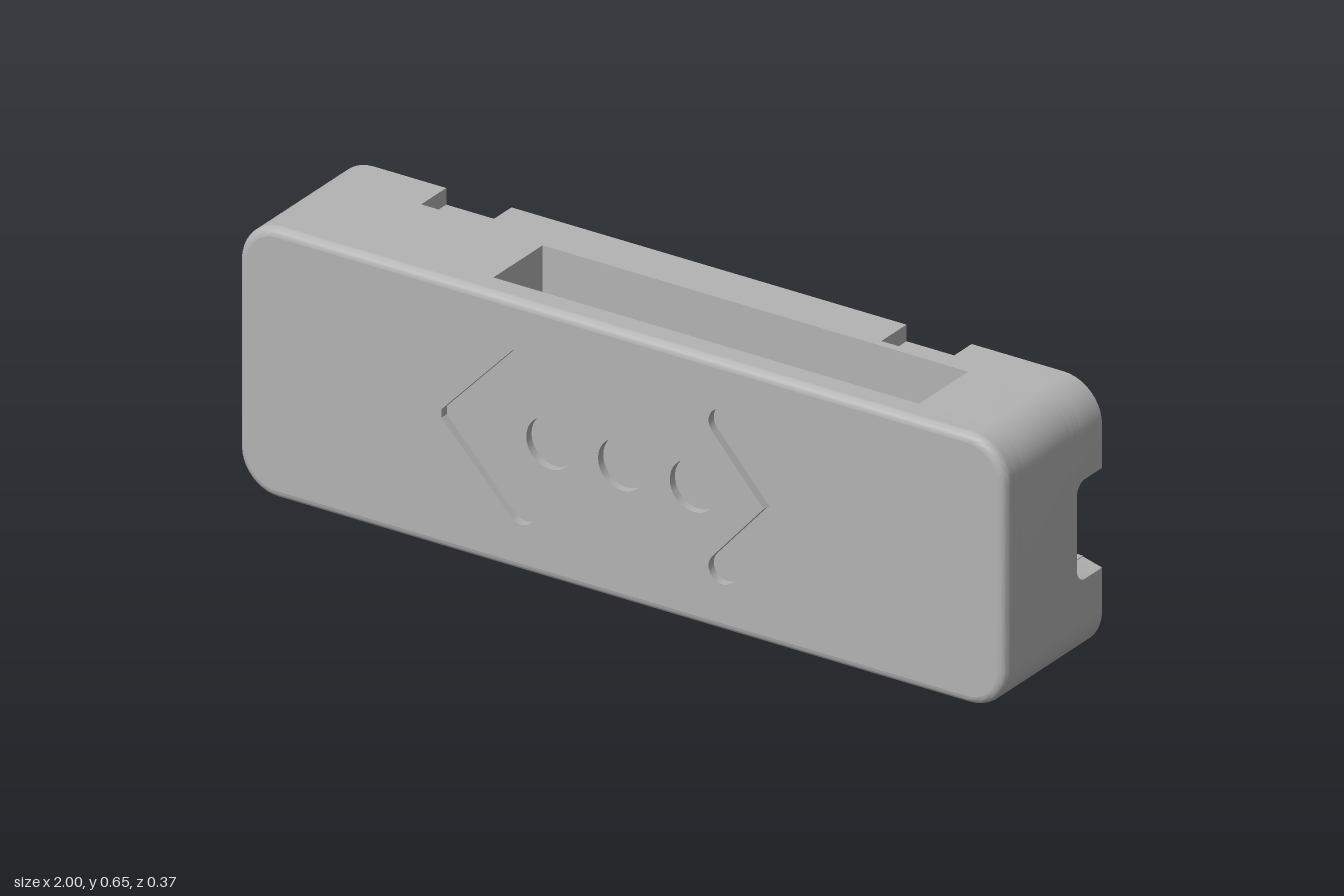
import * as THREE from 'three';
import { toCreasedNormals } from 'three/addons/utils/BufferGeometryUtils.js';

const H = 0.65, R = 0.1, BACK = -0.187, FLOOR = -0.103;
const grey = new THREE.MeshStandardMaterial({ color: 0xb3b3b3, side: THREE.DoubleSide });
grey.name = 'grey plastic';

const flipY = (pts) => pts.map(([x, y]) => [x, H - y]);
const vecs = (pts) => pts.map(([x, y]) => new THREE.Vector2(x, y));

function arc(cx, cy, r, a0, a1, n = 10) {
  return Array.from({ length: n + 1 }, (_, i) => {
    const a = THREE.MathUtils.degToRad(a0 + (a1 - a0) * i / n);
    return [cx + r * Math.cos(a), cy + r * Math.sin(a)];
  });
}

// Rounded outline of the case, pulled in by d
function outline(d = 0) {
  const r = R - d;
  return [
    ...arc(-1 + R, R, r, 180, 270), ...arc(1 - R, R, r, 270, 360),
    ...arc(1 - R, H - R, r, 0, 90), ...arc(-1 + R, H - R, r, 90, 180),
  ];
}

// Lower edge of the case from the open end to the cable end
const CLIPS = [[-0.71, -0.54], [0.49, 0.66]], DENT = 0.065;
function lowerEdge(dents, notch) {
  const pts = [[-1, 0.11], ...arc(-1 + R, R, R, 180, 270)];
  if (dents) for (const [a, b] of CLIPS) pts.push([a, 0], [a, DENT], [b, DENT], [b, 0]);
  pts.push(...arc(1 - R, R, R, 270, 360));
  if (notch) pts.push([1, 0.205], [0.95, 0.205]);
  return pts;
}

// Solid slab between two depths
function slab(pts, z0, z1, holes = []) {
  const shape = new THREE.Shape(vecs(pts));
  for (const h of holes) shape.holes.push(new THREE.Path(vecs(h)));
  const g = new THREE.ExtrudeGeometry(shape, { depth: z1 - z0, bevelEnabled: false });
  g.translate(0, 0, z0);
  return toCreasedNormals(g, 0.5);
}

// Surface through rows of points with equal counts
function loft(rows, closed, crease) {
  const pos = [], n = rows[0].length;
  for (let i = 0; i + 1 < rows.length; i++) {
    for (let j = 0; j < (closed ? n : n - 1); j++) {
      const k = (j + 1) % n;
      const a = rows[i][j], b = rows[i][k], c = rows[i + 1][j], d = rows[i + 1][k];
      pos.push(...a, ...b, ...d, ...a, ...d, ...c);
    }
  }
  const g = new THREE.BufferGeometry();
  g.setAttribute('position', new THREE.Float32BufferAttribute(pos, 3));
  g.computeVertexNormals();
  return toCreasedNormals(g, crease);
}

// U-shaped path of the cable notch; r = 0 gives sharp corners
function notchPath(x, y0, y1, z, r) {
  const pts = [[BACK, y1], ...arc(z - r, y1 - r, r, 90, 0, 6), ...arc(z - r, y0 + r, r, 0, -90, 6), [BACK, y0]];
  return pts.map(([pz, py]) => [x, py, pz]);
}

export function createModel() {
  const group = new THREE.Group();
  const add = (name, geometry) => {
    const m = new THREE.Mesh(geometry, grey);
    m.name = name;
    group.add(m);
    return m;
  };

  // Front face with recessed chevrons and dots
  const chevron = [
    [-0.47, 0.315], [-0.47, 0.335],
    ...arc(-0.262, 0.5, 0.036, 135, -45), [-0.37, 0.325],
    ...arc(-0.262, 0.15, 0.036, 45, -135),
  ];
  const dots = [-0.187, 0, 0.187].map((x) => arc(x, 0.33, 0.062, 0, 350, 35));
  add('frontFace', slab(outline(0.02), 0.167, 0.187,
    [chevron, chevron.map(([x, y]) => [-x, y]), ...dots]));

  // Rounded rim around the front face
  const rim = [0, 1, 2, 3, 4, 5].map((i) => {
    const a = i / 5 * Math.PI / 2;
    return outline(0.02 * (1 - Math.cos(a))).map(([x, y]) => [x, y, 0.167 + 0.02 * Math.sin(a)]);
  });
  add('frontRim', loft(rim, true, 0.5));

  // Front plate and the bottom of the end compartment
  add('frontPlate', slab(outline(), 0.15, 0.167));
  add('compartmentBase', slab(outline(), 0.12, 0.15,
    [[[-0.97, 0.08], [-0.49, 0.08], [-0.49, 0.57], [-0.97, 0.57]]]));

  // Middle blocks on either side of the through slot
  const bay = [[-0.97, 0.11], [-0.97, 0.08], [-0.49, 0.08]];
  const bayWall = [...flipY(bay), ...[...bay].reverse()];
  const lowerLeft = [[-1, 0.11], ...arc(-1 + R, R, R, 180, 270), [-0.38, 0]];
  add('compartmentWalls', slab(
    [...lowerLeft, ...flipY([...lowerLeft].reverse()), ...bayWall], -0.07, 0.12));
  const endCorner = [[0.73, 0], ...arc(1 - R, R, R, 270, 360)];
  add('endBlock', slab([...endCorner, ...flipY([...endCorner].reverse())], -0.07, 0.12));

  // Inner floor with its small cut-outs
  const box = (x0, x1, y0, y1) => [[x0, y0], [x1, y0], [x1, y1], [x0, y1]];
  const floorHoles = [
    box(0.24, 0.3, 0.263, 0.43),
    box(0.51, 0.56, 0.185, 0.225),
    [[0.44, 0.495], [0.69, 0.495], [0.69, 0.385], [0.44, 0.385],
      [0.44, 0.4], [0.675, 0.4], [0.675, 0.48], [0.44, 0.48]],
  ];
  const floorPts = (cut) => {
    const e = lowerEdge(cut, cut);
    return [...e, ...flipY([...e].reverse()), ...bayWall];
  };
  add('innerFloor', slab(floorPts(false), -0.09, -0.07, floorHoles));
  add('innerFloorTop', slab(floorPts(true), FLOOR, -0.09, floorHoles));

  // Button on the flexible tongue
  const button = add('button', new THREE.CylinderGeometry(0.033, 0.033, 0.03, 24));
  button.rotation.x = Math.PI / 2;
  button.position.set(0.64, 0.44, -0.105);

  // Rear walls with round corner posts, one below and one mirrored above
  const wall = [
    ...lowerEdge(true, true), [0.95, 0.22],
    ...arc(0.89, 0.165, 0.055, 90, 270, 16), [0.95, 0.11], [0.95, 0.085],
    [-0.43, 0.085], [-0.43, 0.07], [-0.47, 0.07], [-0.47, 0.08],
    [-0.97, 0.08], [-0.97, 0.11],
  ];
  add('lowerRearWall', slab(wall, BACK, FLOOR));
  add('upperRearWall', slab(flipY(wall), BACK, FLOOR));

  // Catches inside the clip recesses
  const catchProfile = [[BACK, DENT + 0.002], [BACK, 0.04], [-0.155, 0.04],
    [-0.135, DENT], [-0.09, 0.045], [-0.09, DENT + 0.002]];
  for (const [x0, x1] of CLIPS) {
    for (const profile of [catchProfile, flipY(catchProfile)]) {
      const g = slab(profile, 0, x1 - x0);
      g.rotateY(-Math.PI / 2);
      g.translate(x1, 0, 0);
      add('clipCatch', g);
    }
  }

  // Tapered edge of the cable notch
  add('cableNotch', loft([
    notchPath(1, 0.205, 0.445, -0.09, 0),
    notchPath(1, 0.205, 0.445, -0.09, 0.03),
    notchPath(0.95, 0.218, 0.433, FLOOR, 0.02),
    notchPath(0.95, 0.205, 0.445, -0.09, 0),
  ], false, 0.5));

  return group;
}
